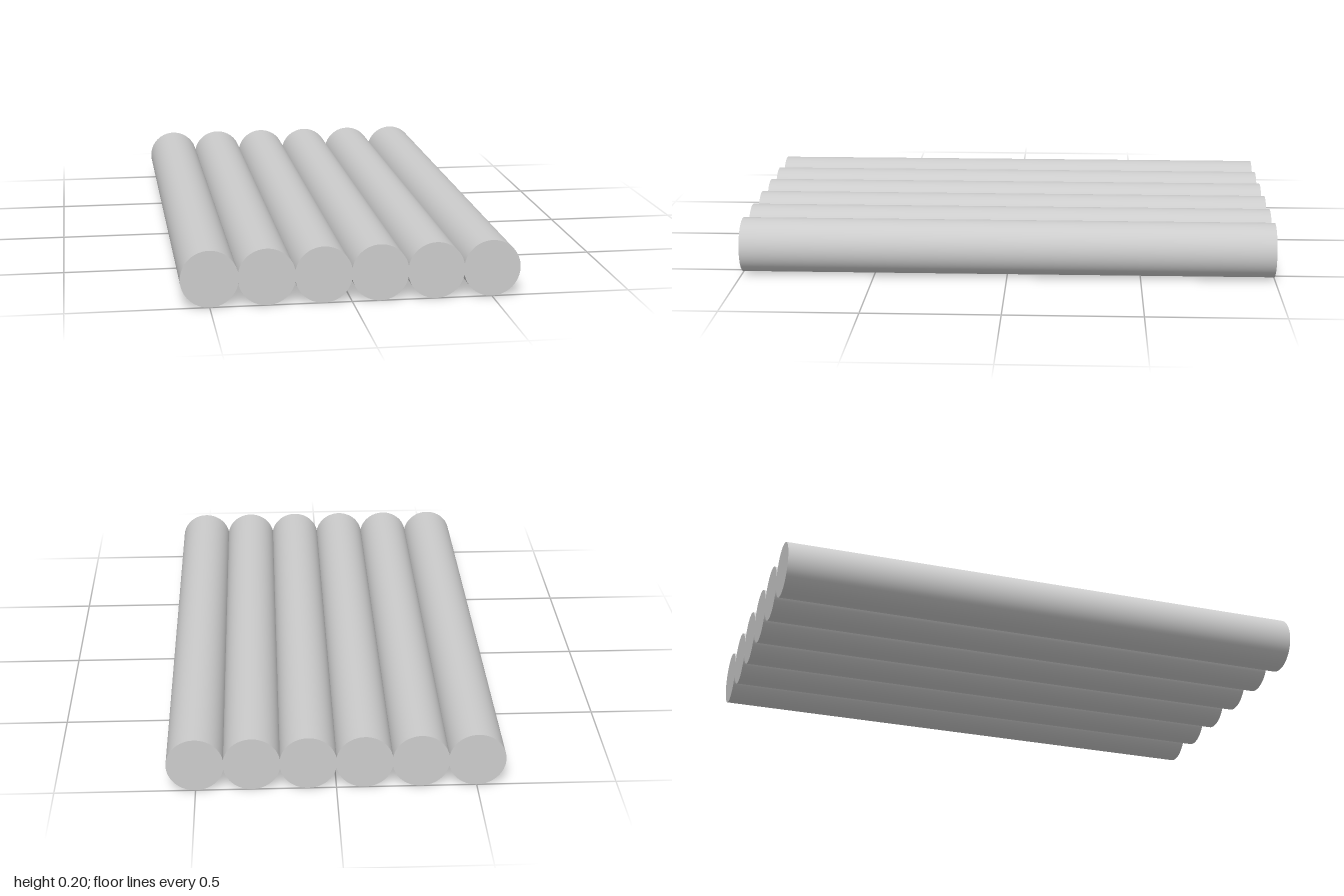
import * as THREE from 'three';

const COUNT = 6;
const SPACING = 0.2;
const RADIUS = 0.102; // slightly over half the spacing, so neighbours overlap
const LENGTH = 2;

export function createModel() {
  const raft = new THREE.Group();
  raft.name = 'logRow';

  const material = new THREE.MeshStandardMaterial({ color: 0xcccccc });
  // One smooth, capped log lying along z
  const geometry = new THREE.CylinderGeometry(RADIUS, RADIUS, LENGTH, 64).rotateX(Math.PI / 2);

  // Row of logs side by side
  for (let i = 0; i < COUNT; i++) {
    const log = new THREE.Mesh(geometry, material);
    log.name = `log${i + 1}`;
    log.position.set((i - (COUNT - 1) / 2) * SPACING, RADIUS, 0);
    raft.add(log);
  }
  return raft;
}
